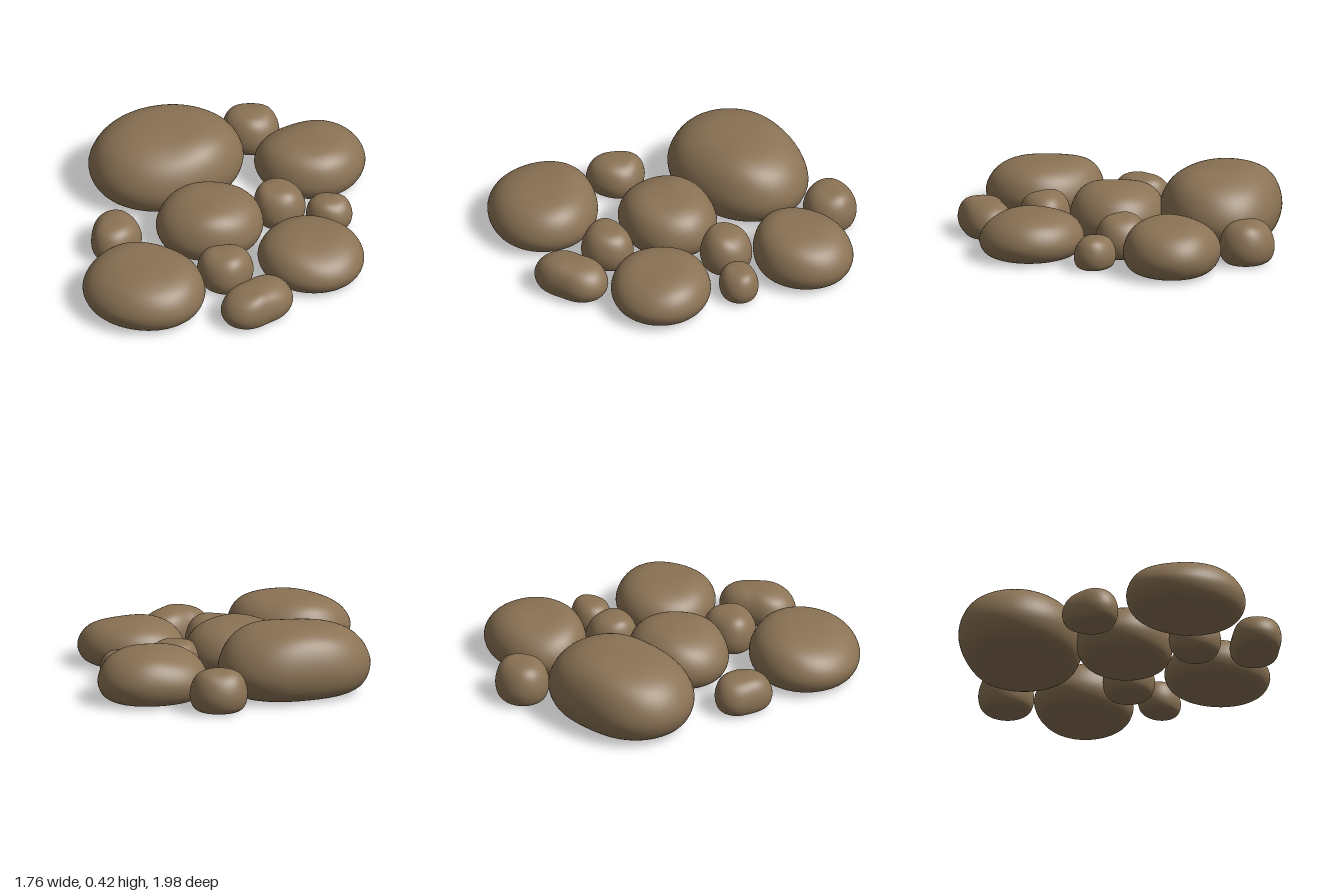
import * as THREE from 'three';
import { mergeVertices } from 'three/addons/utils/BufferGeometryUtils.js';

const stone = new THREE.MeshStandardMaterial({ color: 0x8b7355 });
stone.name = 'brown stone';

// Side profile shared by all stones: share of radius, share of height
const PROFILE = new THREE.SplineCurve([
  [0, 0], [0.5, 0.004], [0.75, 0.035], [0.92, 0.15], [1, 0.38],
  [0.945, 0.62], [0.8, 0.82], [0.57, 0.945], [0.28, 0.992], [0, 1],
].map(([r, y]) => new THREE.Vector2(r, y))).getPoints(36);
PROFILE.forEach((p) => p.set(Math.max(0, p.x), Math.max(0, p.y)));
PROFILE[0].set(0, 0);
PROFILE[PROFILE.length - 1].set(0, 1);

// One stone: ground centre, height, mean radius, oval (along x, along the diagonal),
// three-sided bulge (along x, along z) and offset of the peak
function makeStone({ name, at, height, radius, oval = [0, 0], bulge = [0, 0], peak = [0, 0] }, index) {
  const geometry = new THREE.LatheGeometry(PROFILE, 60);
  const pos = geometry.attributes.position;
  for (let i = 0; i < pos.count; i++) {
    const x = pos.getX(i), y = pos.getY(i), z = pos.getZ(i);
    const share = Math.hypot(x, z);
    const a = Math.atan2(z, x);
    const r = share * (radius
      + oval[0] * Math.cos(2 * a) + oval[1] * Math.sin(2 * a)
      + bulge[0] * Math.cos(3 * a) + bulge[1] * Math.sin(3 * a));
    // lean the upper half towards the peak and give it gentle, uneven shoulders
    const lean = y > 0.38 ? 1 - share : 0;
    const lump = 1 + share * share * y
      * (0.05 * Math.sin(2 * a + index * 1.7) + 0.04 * Math.sin(3 * a + index * 2.9));
    pos.setXYZ(i, r * Math.cos(a) + peak[0] * lean, y * height * lump, r * Math.sin(a) + peak[1] * lean);
  }
  // weld the seam so that the shading is smooth all round
  geometry.deleteAttribute('uv');
  geometry.deleteAttribute('normal');
  const smooth = mergeVertices(geometry, 1e-5);
  smooth.computeVertexNormals();
  const mesh = new THREE.Mesh(smooth, stone);
  mesh.name = name;
  mesh.position.set(at[0], 0, at[1]);
  return mesh;
}

const STONES = [
  { name: 'largeBackStone', at: [-0.29, -0.51], height: 0.42, radius: 0.406,
    oval: [0.048, -0.022], bulge: [0, -0.007], peak: [0.04, -0.04] },
  { name: 'smallBackStone', at: [0.235, -0.84], height: 0.25, radius: 0.163, oval: [0.005, 0.004] },
  { name: 'backLeftStone', at: [0.553, -0.49], height: 0.305, radius: 0.302,
    oval: [0.022, 0], bulge: [-0.003, -0.006], peak: [0, 0.06] },
  { name: 'centreStone', at: [-0.087, 0.058], height: 0.315, radius: 0.295,
    oval: [0.019, -0.003], peak: [0.02, 0.01] },
  { name: 'smallInnerStone', at: [0.336, -0.103], height: 0.25, radius: 0.152, peak: [-0.04, 0] },
  { name: 'tinyStone', at: [0.62, -0.035], height: 0.19, radius: 0.125, oval: [0.009, 0.006] },
  { name: 'smallRightStone', at: [-0.643, 0.098], height: 0.22, radius: 0.159,
    oval: [-0.011, -0.006], bulge: [0.008, 0.003] },
  { name: 'frontRightStone', at: [-0.526, 0.648], height: 0.305, radius: 0.342,
    oval: [0.012, 0.016], peak: [0.07, -0.04] },
  { name: 'smallFrontStone', at: [-0.034, 0.484], height: 0.24, radius: 0.156,
    oval: [0.008, 0], bulge: [0, -0.006] },
  { name: 'frontLeftStone', at: [0.473, 0.4], height: 0.262, radius: 0.303,
    oval: [0.005, 0.011], peak: [-0.01, -0.03] },
  { name: 'longFrontStone', at: [0.12, 0.803], height: 0.213, radius: 0.186, oval: [0.02, -0.038] },
];

export function createModel() {
  const group = new THREE.Group();
  group.name = 'stoneCluster';
  STONES.forEach((spec, i) => group.add(makeStone(spec, i)));
  return group;
}
